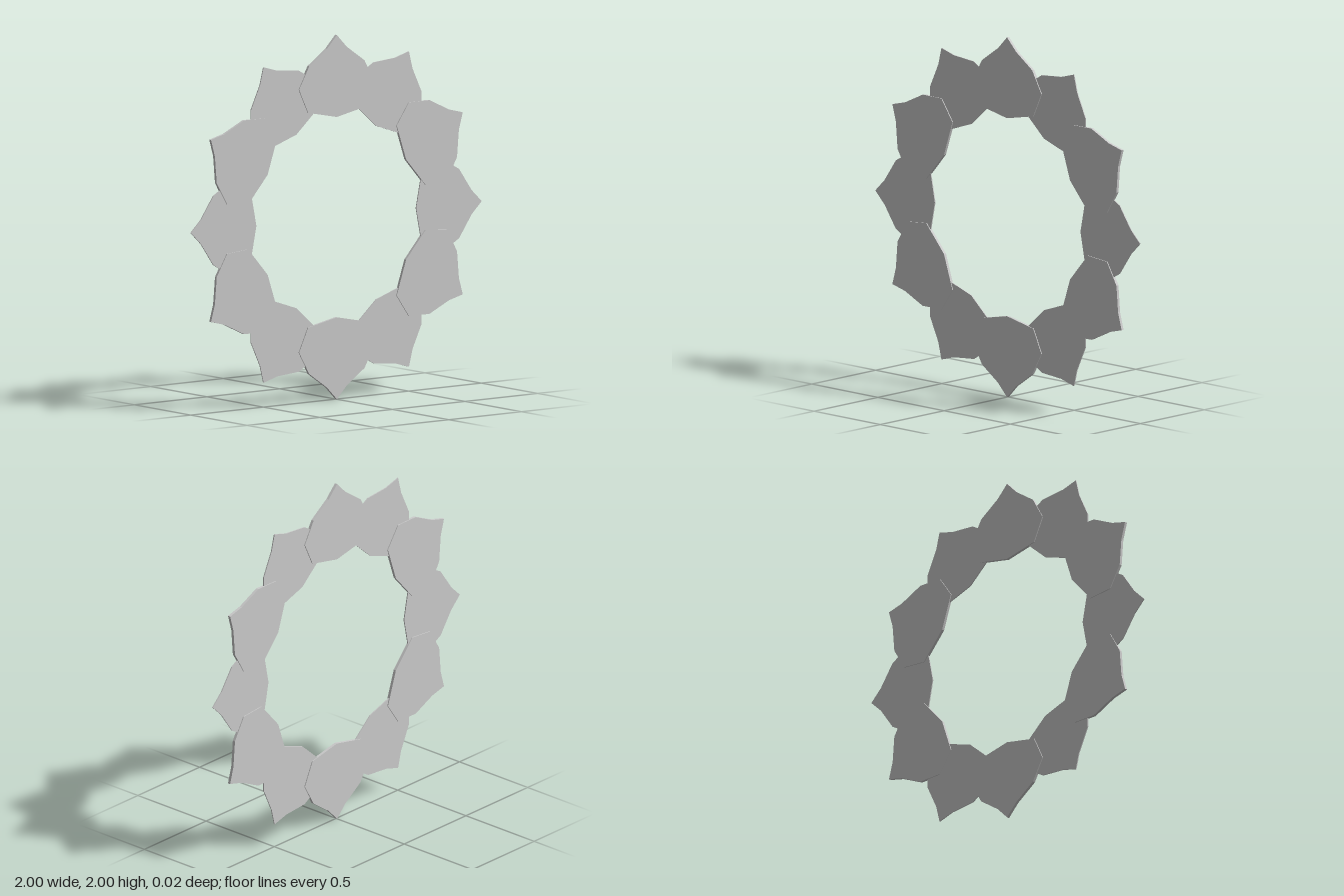
import * as THREE from 'three';

// Half outline of one petal: [sideways, distance from ring centre]
const HALF = [[0.068, 0.93], [0.19, 0.845], [0.26, 0.722], [0.198, 0.59]];
const TIP = [0, 1];
const ROOT = [0, 0.55];

function petalGeometry(thickness) {
  const mirrored = HALF.map(([x, y]) => [-x, y]).reverse();
  const outline = [TIP, ...HALF, ROOT, ...mirrored];
  const shape = new THREE.Shape(outline.map(([x, y]) => new THREE.Vector2(x, y)));
  const geometry = new THREE.ExtrudeGeometry(shape, { depth: thickness, bevelEnabled: false });
  return geometry.translate(0, 0, -thickness / 2);
}

export function createModel() {
  const group = new THREE.Group();
  group.name = 'petalRing';
  const material = new THREE.MeshStandardMaterial({ color: 0xcccccc, flatShading: true });
  const thick = petalGeometry(0.016);
  const thin = petalGeometry(0.006);

  // Twelve overlapping petals, alternately thick and thin
  for (let i = 0; i < 12; i++) {
    const petal = new THREE.Mesh(i % 2 ? thin : thick, material);
    petal.name = i % 2 ? 'thinPetal' : 'thickPetal';
    petal.position.y = 1;
    petal.rotation.z = (i * Math.PI) / 6;
    group.add(petal);
  }
  return group;
}
